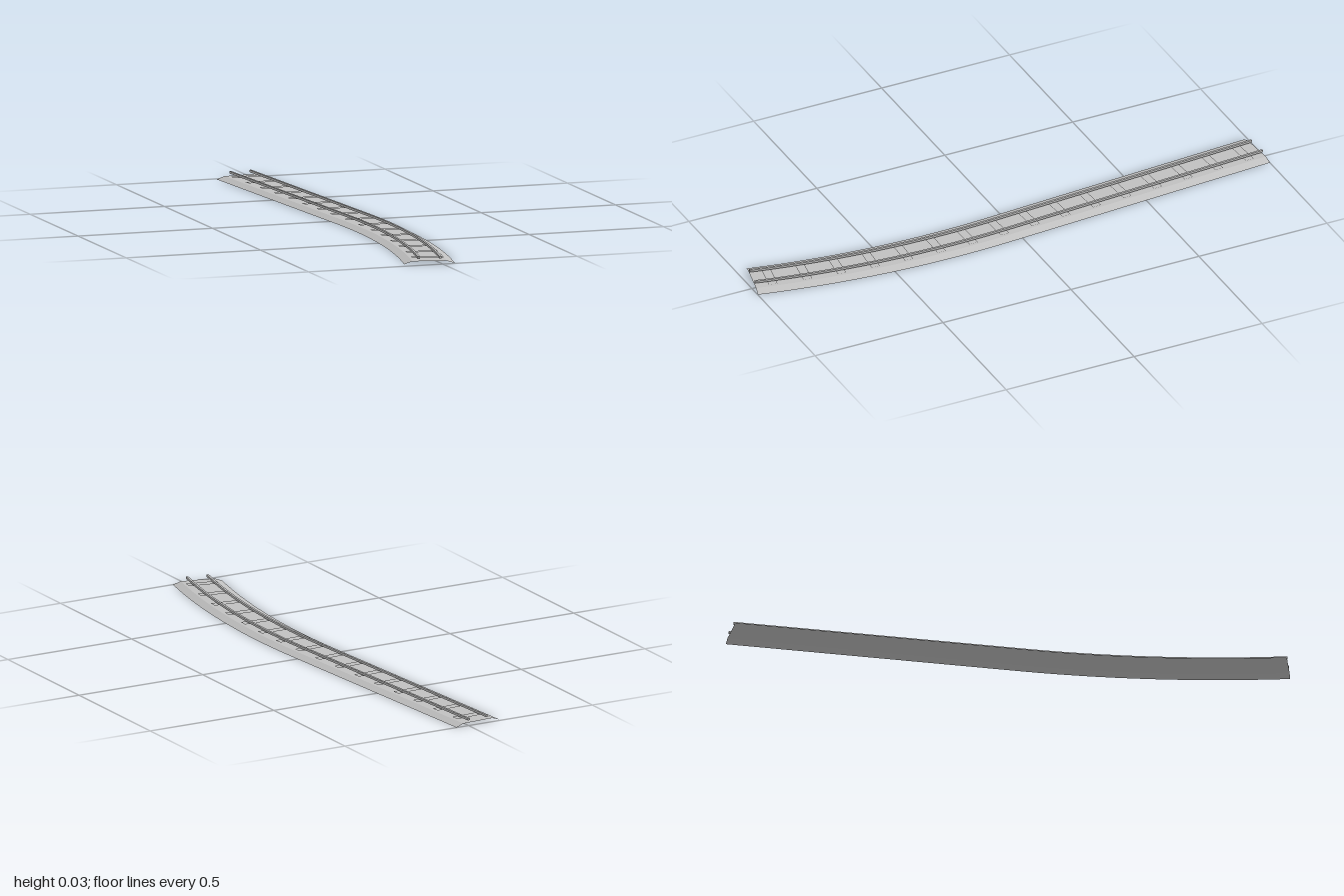
import * as THREE from 'three';

const R = 3.2, CX = 0.038 - R, CZ = 0.27;      // bend radius and centre
const A0 = -0.068, A1 = 0.2235;                // bend start and end angles
const STRAIGHT = 1.049;                        // straight run at the back
const LENGTH = STRAIGHT + R * (A1 - A0);

// Point at distance s along the track, offset u to the side, at height y
function place(s, u, y) {
  const a = A0 + Math.max(0, s - STRAIGHT) / R;
  const back = Math.min(0, s - STRAIGHT);
  return new THREE.Vector3(
    CX + (R + u) * Math.cos(a) - Math.sin(a) * back, y,
    CZ + (R + u) * Math.sin(a) + Math.cos(a) * back);
}

// Stations: one straight piece, then even steps round the bend
const stations = [0];
const STEPS = 14;
for (let i = 0; i <= STEPS; i++) stations.push(STRAIGHT + (LENGTH - STRAIGHT) * i / STEPS);

// Sweep a profile of [offset, height] points along the track
function sweep(profile, closed) {
  const pts = [];
  const n = profile.length;
  const at = (i, j) => place(stations[i], ...profile[j % n]);
  const last = stations.length - 1;
  for (let i = 0; i < last; i++) {
    for (let j = 0; j < (closed ? n : n - 1); j++) {
      const a = at(i, j), b = at(i, j + 1), c = at(i + 1, j), d = at(i + 1, j + 1);
      pts.push(a, c, b, b, c, d);
    }
  }
  if (closed) {
    for (let j = 1; j < n - 1; j++) {
      pts.push(at(0, 0), at(0, j), at(0, j + 1));
      pts.push(at(last, 0), at(last, j + 1), at(last, j));
    }
  }
  const geometry = new THREE.BufferGeometry().setFromPoints(pts);
  geometry.computeVertexNormals();
  return geometry;
}

export function createModel() {
  const group = new THREE.Group();
  const grey = new THREE.MeshStandardMaterial({ color: 0xc0c0c0, side: THREE.DoubleSide });
  grey.name = 'track grey';

  const add = (name, geometry) => {
    const mesh = new THREE.Mesh(geometry, grey);
    mesh.name = name;
    group.add(mesh);
    return mesh;
  };

  // Ballast bed: open sheet with sloped shoulders
  add('ballastBed', sweep([[-0.09, 0], [-0.061, 0.01], [0.061, 0.01], [0.09, 0]], false));

  // Two rails
  for (const [name, u] of [['rightRail', -0.038], ['leftRail', 0.038]]) {
    const w = 0.004;
    add(name, sweep([[u - w, 0.026], [u + w, 0.026], [u + w, 0.018], [u - w, 0.018]], true));
  }

  // Flat sleepers, square to the track
  const plank = new THREE.PlaneGeometry(0.112, 0.032).rotateX(-Math.PI / 2);
  const COUNT = 16;
  for (let i = 0; i < COUNT; i++) {
    const s = LENGTH * (i + 0.5) / COUNT;
    const sleeper = add('sleeper', plank);
    sleeper.position.copy(place(s, 0, 0.014));
    sleeper.rotation.y = -(A0 + Math.max(0, s - STRAIGHT) / R);
  }
  return group;
}
